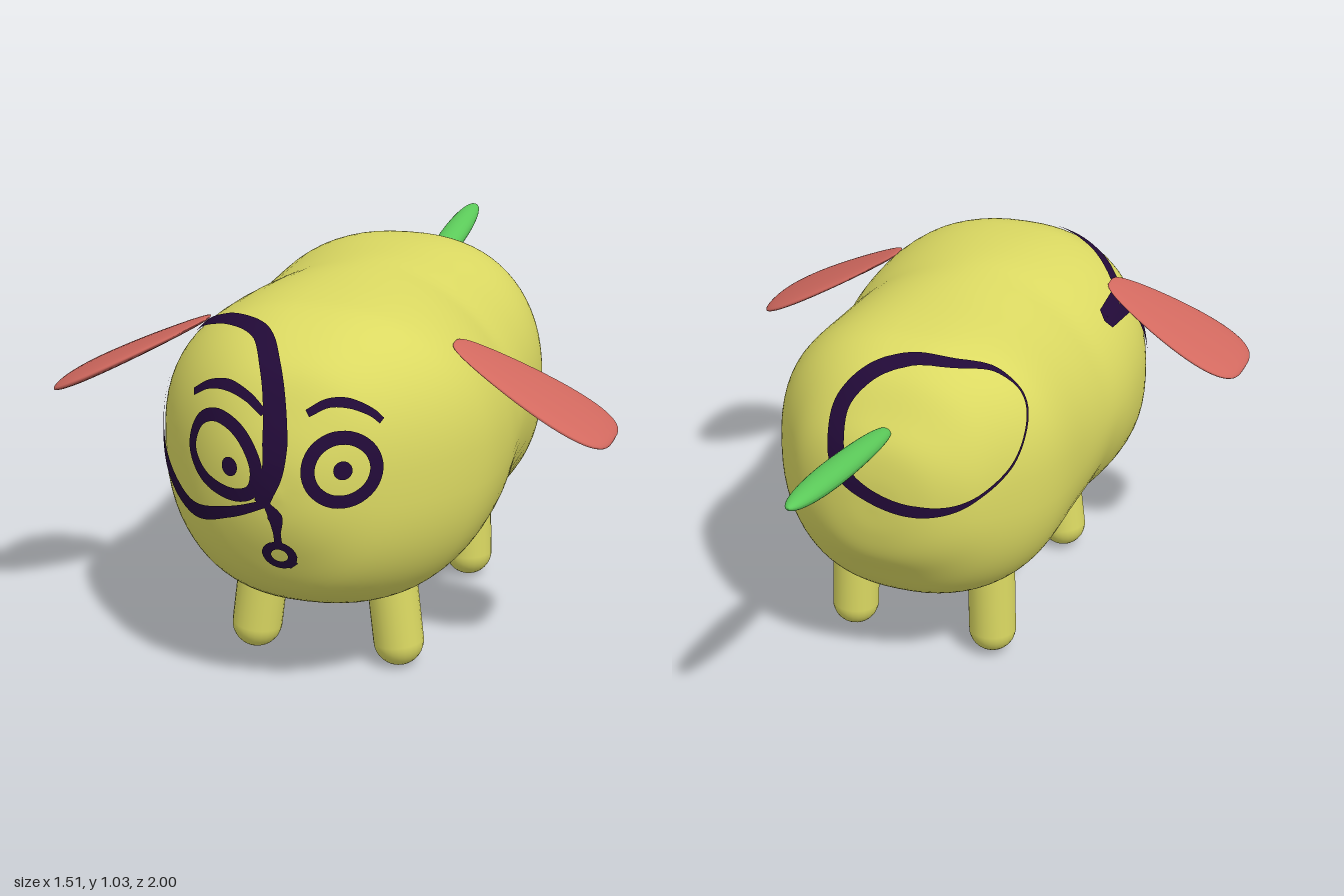
import * as THREE from 'three';
import { mergeVertices } from 'three/addons/utils/BufferGeometryUtils.js';

const V = (x, y, z = 0) => new THREE.Vector3(x, y, z);
const CY = 0.61; // height of the body axis

// Body sections: z, half width, half height
const sections = [
  [-0.44, 0, 0], [-0.435, 0.09, 0.09], [-0.415, 0.17, 0.17], [-0.37, 0.25, 0.24], [-0.3, 0.315, 0.33],
  [-0.2, 0.385, 0.385], [-0.1, 0.42, 0.402], [0.1, 0.435, 0.412], [0.3, 0.45, 0.42], [0.45, 0.46, 0.418],
  [0.6, 0.447, 0.41], [0.7, 0.41, 0.397], [0.8, 0.347, 0.36], [0.9, 0.252, 0.29], [0.96, 0.16, 0.18],
  [0.99, 0.08, 0.09], [1, 0, 0],
];
const profile = new THREE.CatmullRomCurve3(sections.map((s) => V(s[1], s[2], s[0]))).getPoints(90);

// Cross-sections are oval in the middle and squarer towards both ends
const power = (z) => 1.87 + 0.5 * Math.min(1, Math.abs(z - 0.28) / 0.4);

function radii(z) {
  for (let i = 1; i < profile.length; i++) {
    const a = profile[i - 1], b = profile[i];
    if (z >= a.z && z <= b.z && b.z > a.z) {
      const t = (z - a.z) / (b.z - a.z);
      return [Math.max(1e-4, a.x + (b.x - a.x) * t), Math.max(1e-4, a.y + (b.y - a.y) * t)];
    }
  }
  return [1e-4, 1e-4];
}

// Signed distance-like value, zero on the body surface
function field(p) {
  const [rx, ry] = radii(p.z), n = power(p.z);
  const q = Math.pow(Math.abs(p.x) / rx, n) + Math.pow(Math.abs(p.y - CY) / ry, n);
  return (Math.pow(q, 1 / n) - 1) * rx;
}

function gradient(p) {
  const h = 0.006;
  const d = (v) => (field(p.clone().add(v)) - field(p.clone().sub(v))) / (2 * h);
  return V(d(V(h, 0, 0)), d(V(0, h, 0)), d(V(0, 0, h)));
}

// Finds z of the front (dir 1) or back (dir -1) surface at x, y
function surfacePoint(x, y, dir) {
  let inner = dir > 0 ? 0.42 : 0.3, outer = dir > 0 ? 1 : -0.44;
  for (let i = 0; i < 30; i++) {
    const mid = (inner + outer) / 2;
    if (field(V(x, y, mid)) < 0) inner = mid; else outer = mid;
  }
  return V(x, y, inner);
}

function settle(p, dir) {
  const n = gradient(p).normalize();
  if (Math.abs(n.z) > 0.5) return surfacePoint(p.x, p.y, dir);
  for (let i = 0; i < 4; i++) {
    const g = gradient(p);
    p.addScaledVector(g, -field(p) / Math.max(0.5, g.lengthSq()));
  }
  return p;
}

// Smooth surface through rows of points
function grid(rows) {
  const w = rows[0].length, index = [];
  for (let i = 0; i + 1 < rows.length; i++) {
    for (let j = 0; j + 1 < w; j++) {
      const a = i * w + j, c = a + w;
      index.push(a, a + 1, c, a + 1, c + 1, c);
    }
  }
  let geo = new THREE.BufferGeometry().setFromPoints(rows.flat());
  geo.setIndex(index);
  geo = mergeVertices(geo, 1e-5);
  geo.computeVertexNormals();
  return geo;
}

function bodyGeometry() {
  return grid(profile.map((s) => {
    const e = 2 / power(s.z), row = [];
    for (let j = 0; j <= 72; j++) {
      const a = (j % 72) / 72 * Math.PI * 2, c = Math.cos(a), n = Math.sin(a);
      row.push(V(Math.max(0, s.x) * Math.sign(c) * Math.abs(c) ** e,
        CY + Math.max(0, s.y) * Math.sign(n) * Math.abs(n) ** e, s.z));
    }
    return row;
  }));
}

// Painted line laid on the body: points in x, y; widths spread along it
function strokeGeometry(points, widths, closed = false, dir = 1) {
  const curve = new THREE.CatmullRomCurve3(points.map(([x, y]) => V(x, y)), closed);
  const steps = Math.max(24, Math.ceil(curve.getLength() / 0.012));
  const path = [];
  for (let i = 0; i <= steps; i++) {
    const p = curve.getPointAt(i / steps);
    path.push(settle(surfacePoint(p.x, p.y, dir), dir));
  }
  const rows = path.map((p, i) => {
    const before = i > 0 ? path[i - 1] : closed ? path[steps - 1] : p;
    const after = i < steps ? path[i + 1] : closed ? path[1] : p;
    const normal = gradient(p).normalize();
    const side = after.clone().sub(before).cross(normal).normalize();
    const f = i / steps * (widths.length - 1), k = Math.min(Math.floor(f), widths.length - 2);
    const width = widths.length > 1 ? widths[k] + (widths[k + 1] - widths[k]) * (f - k) : widths[0];
    return [-0.5, -0.25, 0, 0.25, 0.5].map((o) => {
      const q = settle(p.clone().addScaledVector(side, o * width), dir);
      return q.addScaledVector(gradient(q).normalize(), 0.005);
    });
  });
  return grid(rows);
}

const ring = (x, y, rx, ry) => Array.from({ length: 10 }, (_, i) => {
  const a = i / 10 * Math.PI * 2;
  return [x + rx * Math.cos(a), y + ry * Math.sin(a)];
});

// Flattened rounded paddle from one point to another, used for ears and tail
function paddle(from, to, hx, hz, taper, tipPower) {
  const geo = new THREE.SphereGeometry(1, 32, 32);
  const half = from.distanceTo(to) / 2, pos = geo.attributes.position;
  for (let i = 0; i < pos.count; i++) {
    const u = pos.getY(i), r = Math.sqrt(Math.max(1e-8, 1 - u * u));
    const k = Math.pow(r, (u < 0 ? 0.6 : tipPower) - 1) * (1 + taper * u);
    pos.setXYZ(i, pos.getX(i) * k * hx, u * half, pos.getZ(i) * k * hz);
  }
  geo.computeVertexNormals();
  geo.applyQuaternion(new THREE.Quaternion().setFromUnitVectors(V(0, 1, 0), to.clone().sub(from).normalize()));
  const mid = from.clone().lerp(to, 0.5);
  return geo.translate(mid.x, mid.y, mid.z);
}

function legGeometry(foot, top) {
  const geo = new THREE.CapsuleGeometry(0.068, foot.distanceTo(top), 10, 24);
  geo.applyQuaternion(new THREE.Quaternion().setFromUnitVectors(V(0, 1, 0), top.clone().sub(foot).normalize()));
  const mid = foot.clone().lerp(top, 0.5);
  return geo.translate(mid.x, mid.y, mid.z);
}

export function createModel() {
  const model = new THREE.Group();
  const material = (name, color) => Object.assign(new THREE.MeshStandardMaterial({ color }), { name });
  const yellow = material('yellow skin', 0xdbd962);
  const red = material('red ear', 0xd2695f);
  const green = material('green tail', 0x5ccb5a);
  const ink = material('dark purple paint', 0x220a38);
  const add = (name, geo, mat) => {
    const mesh = new THREE.Mesh(geo, mat);
    mesh.name = name;
    model.add(mesh);
  };

  add('body', bodyGeometry(), yellow);

  // Legs
  add('frontLeftLeg', legGeometry(V(0.19, 0.069, 0.575), V(0.165, 0.3, 0.575)), yellow);
  add('frontRightLeg', legGeometry(V(-0.21, 0.075, 0.575), V(-0.18, 0.3, 0.575)), yellow);
  add('backLeftLeg', legGeometry(V(0.212, 0.075, -0.09), V(0.205, 0.3, -0.09)), yellow);
  add('backRightLeg', legGeometry(V(-0.217, 0.078, -0.09), V(-0.21, 0.3, -0.09)), yellow);

  // Ears and tail
  add('leftEar', paddle(V(0.335, 0.91, 0.565), V(0.755, 0.685, 0.565), 0.017, 0.137, 0.37, 0.6), red);
  add('rightEar', paddle(V(-0.335, 0.92, 0.565), V(-0.755, 0.71, 0.565), 0.017, 0.137, 0.37, 0.6), red);
  add('tail', paddle(V(-0.01, 0.81, -0.37), V(-0.01, 0.895, -1), 0.041, 0.029, 0.1, 0.9), green);

  // Painted face
  const paint = (name, ...args) => add(name, strokeGeometry(...args), ink);
  paint('eyepieceRim', [
    [-0.04, 0.585], [-0.01, 0.675], [-0.015, 0.795], [-0.045, 0.9], [-0.1, 0.96], [-0.21, 0.965], [-0.31, 0.925],
    [-0.383, 0.855], [-0.422, 0.755], [-0.425, 0.675], [-0.395, 0.593], [-0.27, 0.513], [-0.135, 0.545], [-0.035, 0.585],
  ], [0.04, 0.065, 0.055, 0.045, 0.04, 0.04, 0.05, 0.05, 0.035, 0.02]);
  paint('rightEyeOutline', [
    [-0.254, 0.68], [-0.23, 0.755], [-0.177, 0.78], [-0.105, 0.752], [-0.055, 0.675], [-0.065, 0.615],
    [-0.12, 0.595], [-0.214, 0.62],
  ], [0.034], true);
  paint('leftEyeOutline', ring(0.153, 0.678, 0.077, 0.08), [0.034], true);
  paint('rightPupil', ring(-0.13, 0.665, 0.012, 0.012), [0.024], true);
  paint('leftPupil', ring(0.157, 0.678, 0.011, 0.012), [0.023], true);
  paint('rightBrow', [[-0.266, 0.808], [-0.214, 0.84], [-0.153, 0.852], [-0.093, 0.836], [-0.045, 0.804]], [0.02, 0.03, 0.02]);
  paint('leftBrow', [[0.065, 0.812], [0.11, 0.836], [0.157, 0.836], [0.21, 0.812], [0.234, 0.79]], [0.02, 0.026, 0.018]);
  paint('noseLine', [[-0.03, 0.59], [-0.006, 0.553], [-0.004, 0.51], [-0.004, 0.465]], [0.015, 0.04, 0.02, 0.02]);
  paint('noseRing', ring(-0.006, 0.442, 0.034, 0.03), [0.024], true);
  paint('noseTick', [[0.015, 0.425], [0.028, 0.412]], [0.03]);

  // Painted loop on the back
  paint('backLoop', [
    [0.02, 0.645], [0.1, 0.7], [0.125, 0.78], [0.125, 0.86], [0.065, 0.935], [-0.03, 0.97], [-0.14, 0.967],
    [-0.24, 0.945], [-0.32, 0.88], [-0.345, 0.81], [-0.325, 0.71], [-0.23, 0.63], [-0.1, 0.615],
  ], [0.04, 0.055, 0.05, 0.05, 0.03, 0.008, 0.006, 0.01, 0.035, 0.04], true, -1);

  return model;
}
